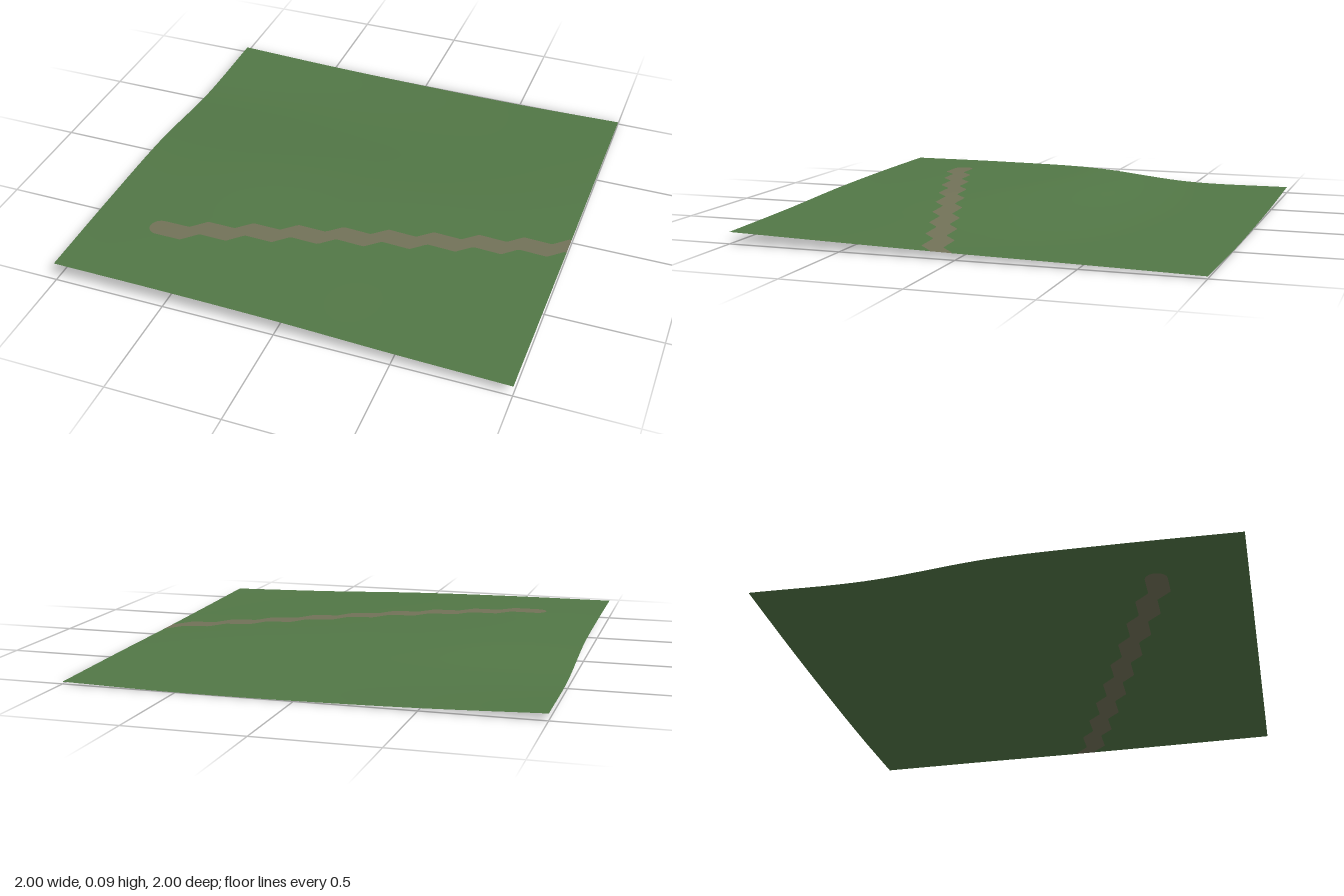
import * as THREE from 'three';

// Control heights: rows run from the back (z = -1) to the front (z = 1), columns from x = -1 to x = 1
const HEIGHTS = [
  [0.030, 0.013, 0.004, 0.002, 0.011],
  [0.033, 0.027, 0.021, 0.019, 0.021],
  [0.080, 0.078, 0.063, 0.046, 0.029],
  [0.090, 0.090, 0.081, 0.060, 0.040],
  [0.090, 0.088, 0.080, 0.063, 0.052],
];

// Smooth curve through five evenly spaced values, t from -1 to 1
function spline(v, t) {
  const u = (t + 1) * 2;
  const i = Math.min(3, Math.max(0, Math.floor(u)));
  const f = u - i;
  const p1 = v[i], p2 = v[i + 1];
  const p0 = i > 0 ? v[i - 1] : 2 * p1 - p2;
  const p3 = i < 3 ? v[i + 2] : 2 * p2 - p1;
  return p1 + 0.5 * f * (p2 - p0 + f * (2 * p0 - 5 * p1 + 4 * p2 - p3 + f * (3 * (p1 - p2) + p3 - p0)));
}
const height = (x, z) => spline(HEIGHTS.map((row) => spline(row, x)), z);

// Path: level runs joined by short diagonal steps, with a round start
const STEP = 0.1875, CELL = 0.0625, HALF = 0.047, START = -0.69;
function pathCentre(x) {
  const s = Math.max(0, x + 0.6975) / STEP;
  const k = Math.floor(s);
  const rise = Math.min(1, Math.max(0, ((s - k) * STEP - 0.125) / CELL));
  return 0.625 - CELL * (k + rise);
}
function pathHalf(x) {
  const d = Math.max(0, START - x) / HALF;
  return d >= 1 ? 0 : HALF * Math.sqrt(1 - d * d);
}
const pathBack = (x) => pathCentre(x) - pathHalf(x);
const pathFront = (x) => pathCentre(x) + pathHalf(x);

// Strip of the terrain between two z borders, with normals taken from the slope
function strip(name, xs, zFrom, zTo, rows, material) {
  const positions = [], normals = [], index = [];
  const e = 0.01, n = new THREE.Vector3();
  xs.forEach((x, i) => {
    for (let j = 0; j <= rows; j++) {
      const z = THREE.MathUtils.lerp(zFrom(x), zTo(x), j / rows);
      positions.push(x, height(x, z), z);
      n.set(height(x - e, z) - height(x + e, z), 2 * e, height(x, z - e) - height(x, z + e)).normalize();
      normals.push(n.x, n.y, n.z);
      if (i < xs.length - 1 && j < rows) {
        const a = i * (rows + 1) + j, c = a + rows + 1;
        index.push(a, a + 1, c, a + 1, c + 1, c);
      }
    }
  });
  const geometry = new THREE.BufferGeometry();
  geometry.setAttribute('position', new THREE.Float32BufferAttribute(positions, 3));
  geometry.setAttribute('normal', new THREE.Float32BufferAttribute(normals, 3));
  geometry.setIndex(index);
  const mesh = new THREE.Mesh(geometry, material);
  mesh.name = name;
  return mesh;
}

export function createModel() {
  const grass = new THREE.MeshStandardMaterial({ color: 0x527746, side: THREE.DoubleSide });
  grass.name = 'grass green';
  const dirt = new THREE.MeshStandardMaterial({ color: 0x727258, side: THREE.DoubleSide });
  dirt.name = 'dirt brown';

  // Shared columns, so the path and grass borders meet exactly
  const tip = START - HALF;
  const xs = [];
  for (let i = 0; i <= 24; i++) xs.push(THREE.MathUtils.lerp(-1, tip, i / 24));
  for (let i = 1; i <= 12; i++) xs.push(tip + HALF * (1 - Math.cos((i / 12) * Math.PI / 2)));
  for (let i = 1; i <= 160; i++) xs.push(THREE.MathUtils.lerp(START, 1, i / 160));

  const group = new THREE.Group();
  group.name = 'terrain';
  group.add(
    strip('backGrass', xs, () => -1, pathBack, 40, grass),
    strip('dirtPath', xs.slice(24), pathBack, pathFront, 4, dirt),
    strip('frontGrass', xs, pathFront, () => 1, 24, grass),
  );
  return group;
}
